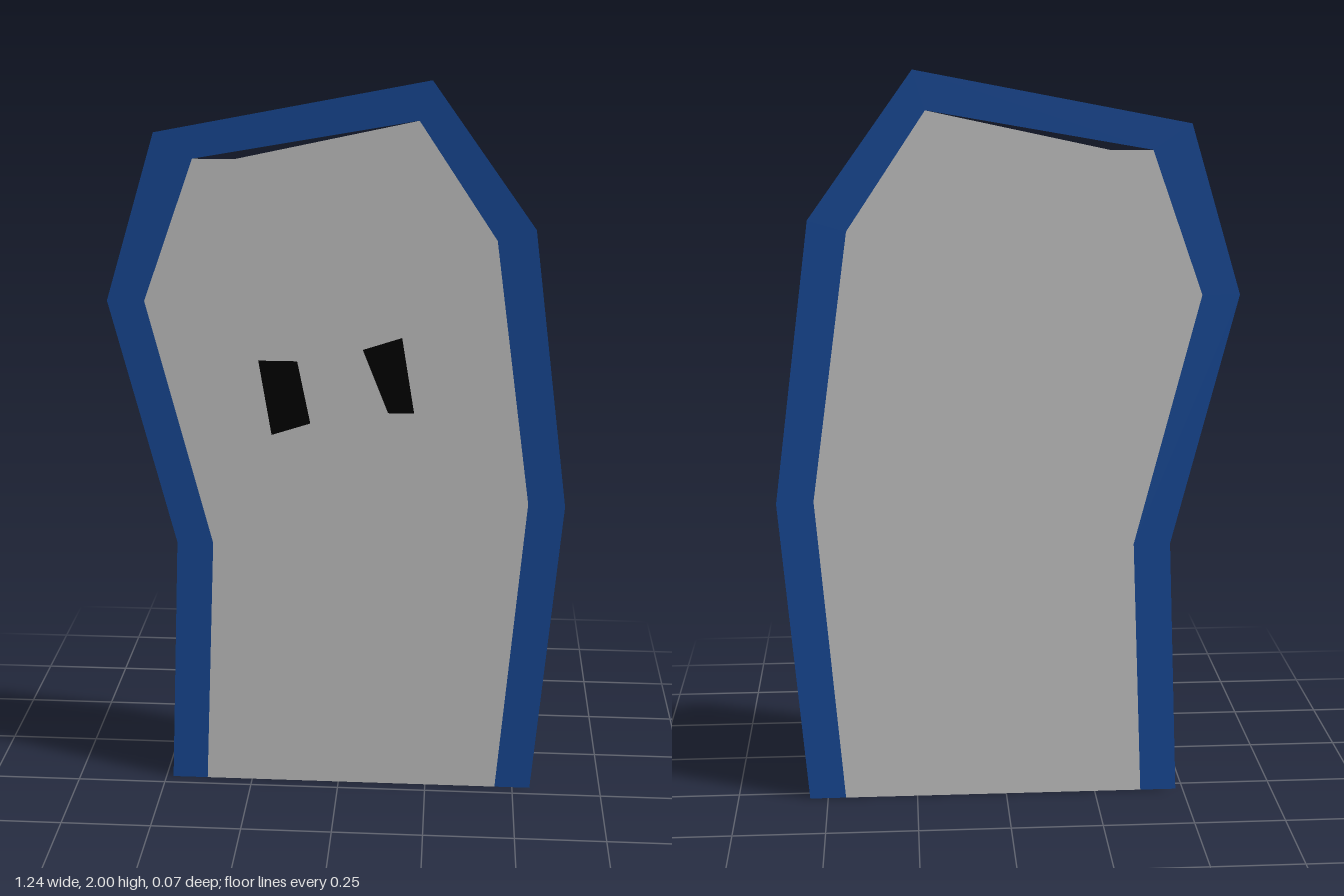
import * as THREE from 'three';

const material = (color) =>
  new THREE.MeshStandardMaterial({ color, side: THREE.DoubleSide });

// Flat polygon panel facing +z
function panel(name, points, mat, z) {
  const shape = new THREE.Shape(points.map(([x, y]) => new THREE.Vector2(x, y)));
  const mesh = new THREE.Mesh(new THREE.ShapeGeometry(shape), mat);
  mesh.name = name;
  mesh.position.z = z;
  return mesh;
}

export function createModel() {
  const model = new THREE.Group();
  model.name = 'flatGhostFigure';
  const bodyZ = -0.035;
  const eyeZ = 0.035;

  // Outline corners, from the lower left of the front over the top to the lower right
  const outer = [[-0.48, 0], [-0.448, 0.73], [-0.618, 1.415], [-0.48, 1.862],
    [0.24, 2], [0.515, 1.62], [0.618, 0.86], [0.55, 0]];
  const inner = [[-0.38, 0], [-0.348, 0.73], [-0.518, 1.415], [-0.38, 1.795],
    [0.208, 1.898], [0.415, 1.59], [0.518, 0.865], [0.45, 0]];

  // Border band, open at the bottom
  model.add(panel('border', [...outer, ...[...inner].reverse()], material(0x194c9b), bodyZ));

  // Body fill, with a small dip that leaves a sliver open under the top band
  const body = [...inner.slice(0, 4), [-0.27, 1.795], ...inner.slice(4)];
  model.add(panel('body', body, material(0xcccccc), bodyZ));

  // Eyes, floating in front of the body
  const eyeMaterial = material(0x000000);
  model.add(panel('rightEye',
    [[-0.207, 1.276], [-0.104, 1.276], [-0.07, 1.105], [-0.174, 1.071]], eyeMaterial, eyeZ));
  model.add(panel('leftEye',
    [[0.069, 1.31], [0.172, 1.344], [0.206, 1.138], [0.137, 1.138]], eyeMaterial, eyeZ));

  return model;
}
